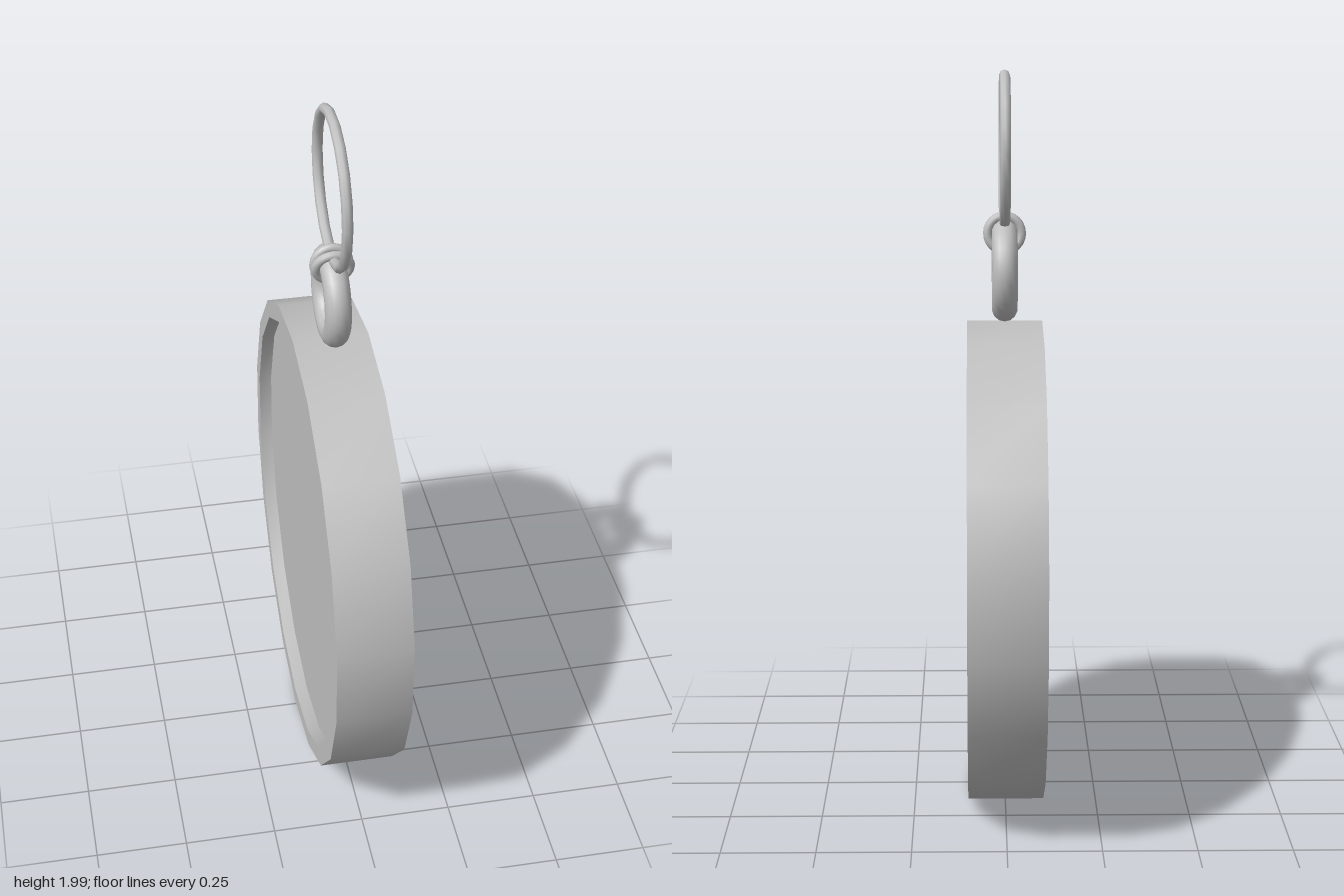
import * as THREE from 'three';
import { toCreasedNormals } from 'three/addons/utils/BufferGeometryUtils.js';

export function createModel() {
  const group = new THREE.Group();
  const metal = new THREE.MeshStandardMaterial({ color: 0xc0c0c0 });
  metal.name = 'greyMetal';

  const add = (name, geometry, x, y, z) => {
    const mesh = new THREE.Mesh(geometry, metal);
    mesh.name = name;
    mesh.position.set(x, y, z);
    group.add(mesh);
    return mesh;
  };

  // Eighteen-sided case on the x axis: plain on +x, recessed on -x
  const half = 0.102, radius = 0.661, inner = 0.613, depth = 0.035;
  const profile = [
    [0, -half + depth], [inner, -half + depth], [inner, -half],
    [radius, -half], [radius, half], [0, half],
  ].map(([r, h]) => new THREE.Vector2(r, h));
  const disc = new THREE.LatheGeometry(profile, 18, THREE.MathUtils.degToRad(-88.8));
  disc.rotateZ(-Math.PI / 2);
  add('case', toCreasedNormals(disc, 0.6), 0, 0.665, 0);

  // Thick loop standing on the case
  const loop = new THREE.TorusGeometry(0.103, 0.035, 14, 32).rotateY(Math.PI / 2);
  add('caseLoop', loop, 0, 1.462, 0.022);

  // Two small links joining the loop to the large ring
  [[0.047, 0.3], [0.024, 0.04]].forEach(([z, tilt], i) => {
    const link = add('link' + (i + 1), new THREE.TorusGeometry(0.046, 0.012, 10, 24), 0, 1.562, z);
    link.rotation.x = tilt;
  });

  // Large thin ring, slightly wider than tall
  const ring = new THREE.TorusGeometry(0.209, 0.0145, 8, 18).rotateY(Math.PI / 2);
  ring.scale(1, 0.952, 1);
  add('largeRing', ring, 0, 1.787, 0.033);

  return group;
}
